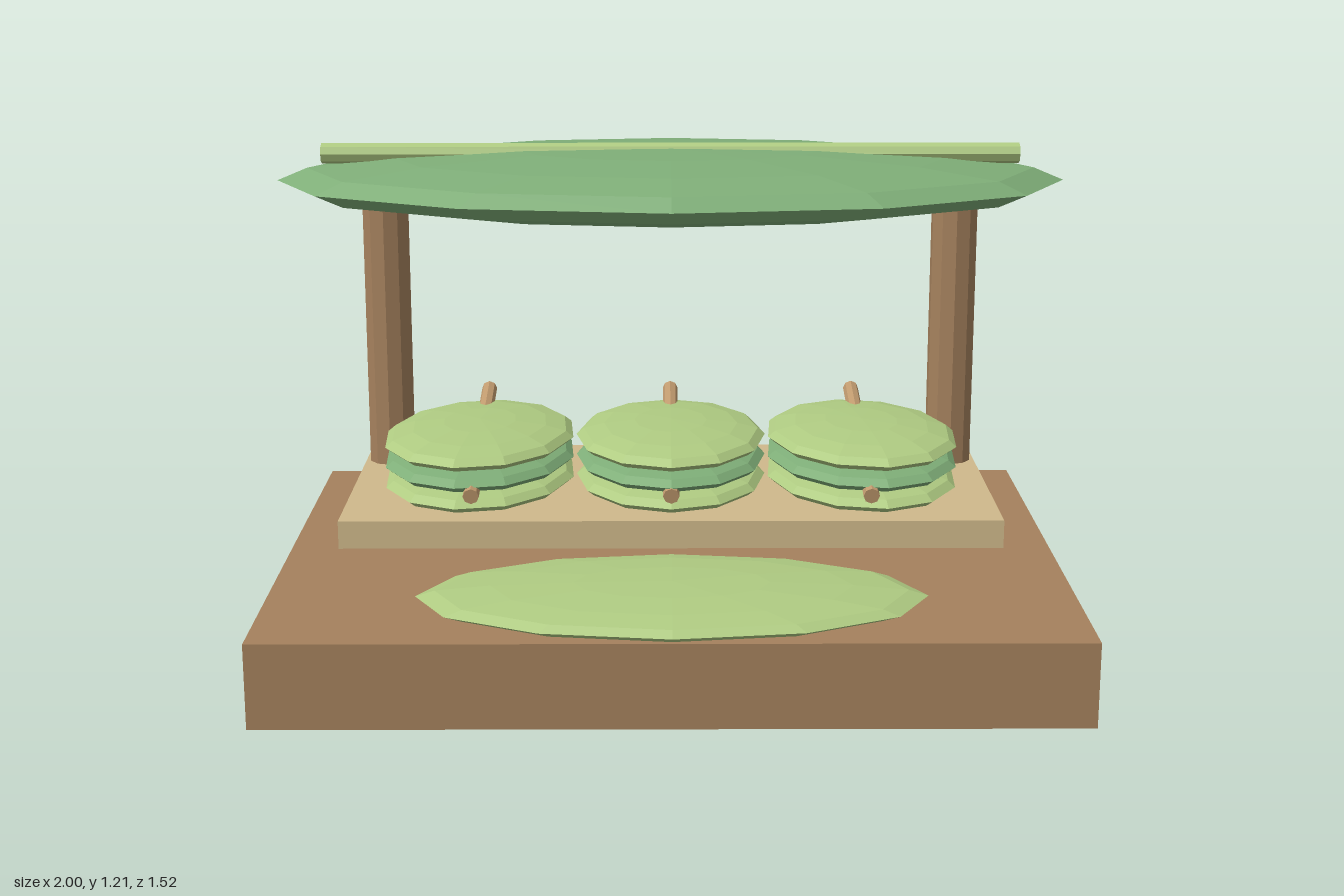
import * as THREE from 'three';

export function createModel() {
  const model = new THREE.Group();
  const mat = (color) => new THREE.MeshStandardMaterial({ color, flatShading: true });
  const wood = mat(0xa5815d), paleWood = mat(0xcfb98b), stickWood = mat(0xc09a6e);
  const darkLeaf = mat(0x7fae78), lightLeaf = mat(0xafcb82);

  const add = (parent, name, geometry, material, x, y, z) => {
    const mesh = new THREE.Mesh(geometry, material);
    mesh.name = name;
    mesh.position.set(x, y, z);
    parent.add(mesh);
    return mesh;
  };
  // Faceted flattened ellipsoid used for every leaf
  const leaf = (rx, ry, rz) => new THREE.SphereGeometry(1, 12, 8).scale(rx, ry, rz);
  const rod = (r, length, sides) => new THREE.CylinderGeometry(r, r, length, sides);

  // Ground block and serving shelf
  add(model, 'base', new THREE.BoxGeometry(1.93, 0.205, 1.42), wood, 0, 0.1025, -0.022);
  add(model, 'shelf', new THREE.BoxGeometry(1.64, 0.07, 0.715), paleWood, 0, 0.296, -0.193);

  // Posts carrying the canopy
  for (const side of [-1, 1]) {
    add(model, side > 0 ? 'leftPost' : 'rightPost', rod(0.061, 0.88, 10), wood, side * 0.75, 0.632, -0.41);
  }

  // Leaf canopy with its midrib
  add(model, 'canopyLeaf', leaf(1, 0.083, 0.533), darkLeaf, 0, 1.117, -0.229);
  add(model, 'canopyMidrib', rod(0.026, 1.77, 8), lightLeaf, 0, 1.186, -0.229).rotation.z = Math.PI / 2;

  // Mat leaf lying at the front
  add(model, 'matLeaf', leaf(0.6, 0.037, 0.293), lightLeaf, 0, 0.242, 0.467);

  // Three stacks of leaves, each pinned by a slanted skewer
  for (const i of [-1, 0, 1]) {
    const stack = new THREE.Group();
    stack.name = 'leafStack';
    stack.position.set(i * 0.489, 0.4225, -0.13);
    for (const layer of [-1, 0, 1]) {
      const m = add(stack, 'stackLeaf', leaf(0.242, 0.041, 0.325), layer ? lightLeaf : darkLeaf, 0, layer * 0.0525, 0);
      m.rotation.y = i * 0.13;
    }
    add(stack, 'skewer', rod(0.02, 0.665, 8), stickWood, 0, 0.037, -0.003).rotation.x = Math.PI / 2 + 0.17;
    model.add(stack);
  }
  return model;
}
